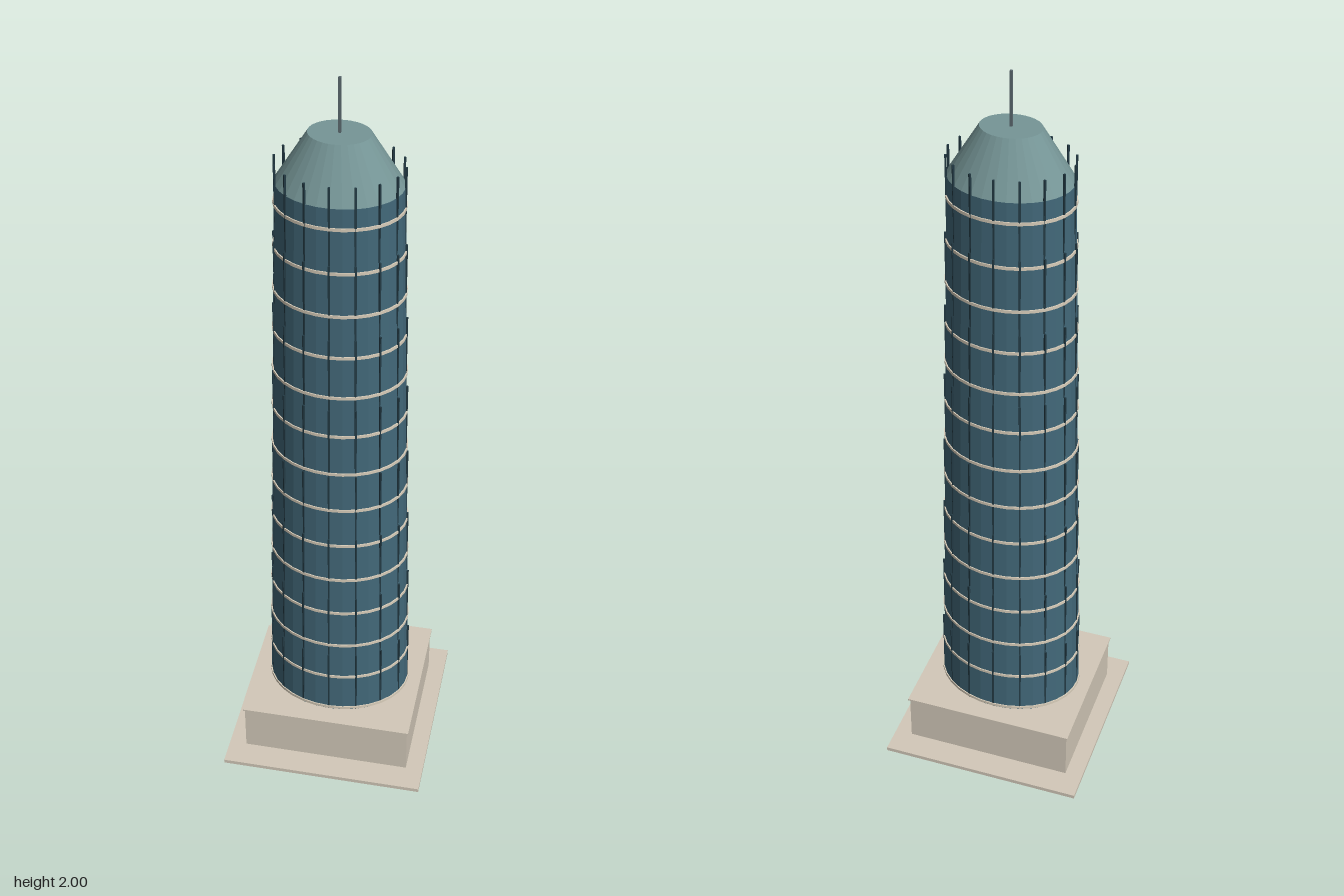
import * as THREE from 'three';

const mat = (name, color, flatShading = false) => {
  const m = new THREE.MeshStandardMaterial({ color, flatShading });
  m.name = name;
  return m;
};

export function createModel() {
  const stone = mat('stone', 0xd3c9b9);
  const glass = mat('blue glass', 0x426879, true);
  const crownGlass = mat('pale crown glass', 0x769697, true);
  const band = mat('pale band', 0xd9cebb);
  const dark = mat('dark fin', 0x223943);
  const steel = mat('steel', 0x5c6a70);

  const model = new THREE.Group();
  const add = (name, geometry, material, x, y, z, parent = model) => {
    const mesh = new THREE.Mesh(geometry, material);
    mesh.name = name;
    mesh.position.set(x, y, z);
    parent.add(mesh);
    return mesh;
  };

  const BASE = 0.154, TOP = 1.735, SIDES = 32;
  const ASPECT = 0.805; // depth of the oval plan relative to its width
  const radiusAt = (y) => 0.195 - 0.041 * (y - BASE) / (TOP - BASE);
  // Oval frustum between two heights
  const oval = (rTop, rBottom, y0, y1) =>
    new THREE.CylinderGeometry(rTop, rBottom, y1 - y0, SIDES).scale(1, 1, ASPECT);

  // Plaza and podium
  add('plaza', new THREE.BoxGeometry(0.552, 0.011, 0.552), stone, 0, 0.0055, 0);
  add('podium', new THREE.BoxGeometry(0.458, 0.139, 0.41), stone, 0, 0.0805, 0);
  add('podiumCap', new THREE.BoxGeometry(0.466, 0.005, 0.42), stone, 0, 0.1515, 0);

  // Tapered oval shaft and crown
  add('shaft', oval(radiusAt(TOP), radiusAt(BASE), BASE, TOP), glass, 0, (BASE + TOP) / 2, 0);
  add('crown', oval(0.075, radiusAt(TOP), TOP, 1.863), crownGlass, 0, (TOP + 1.863) / 2, 0);
  add('spire', new THREE.BoxGeometry(0.006, 0.14, 0.006), steel, 0, 1.93, 0);

  // Floor bands
  const bands = new THREE.Group();
  bands.name = 'floorBands';
  model.add(bands);
  for (let i = 0; i < 14; i++) {
    const y = 0.161 + i * 0.117;
    const r = radiusAt(y) + 0.0032;
    add('floorBand', oval(r, r, 0, 0.008), band, 0, y, 0, bands);
  }

  // Sixteen vertical fins, stepped inwards with the taper
  const fins = new THREE.Group();
  fins.name = 'fins';
  model.add(fins);
  const STEPS = 8, height = (1.79 - BASE) / STEPS;
  const finGeometry = new THREE.BoxGeometry(0.005, height, 0.0045);
  for (let i = 0; i < 16; i++) {
    const a = i * Math.PI / 8;
    for (let s = 0; s < STEPS; s++) {
      const y = BASE + (s + 0.5) * height;
      const x = radiusAt(y) * Math.cos(a);
      const z = radiusAt(y) * ASPECT * Math.sin(a);
      add('fin', finGeometry, dark, x, y, z, fins).rotation.y = -Math.atan2(z, x);
    }
  }
  return model;
}
